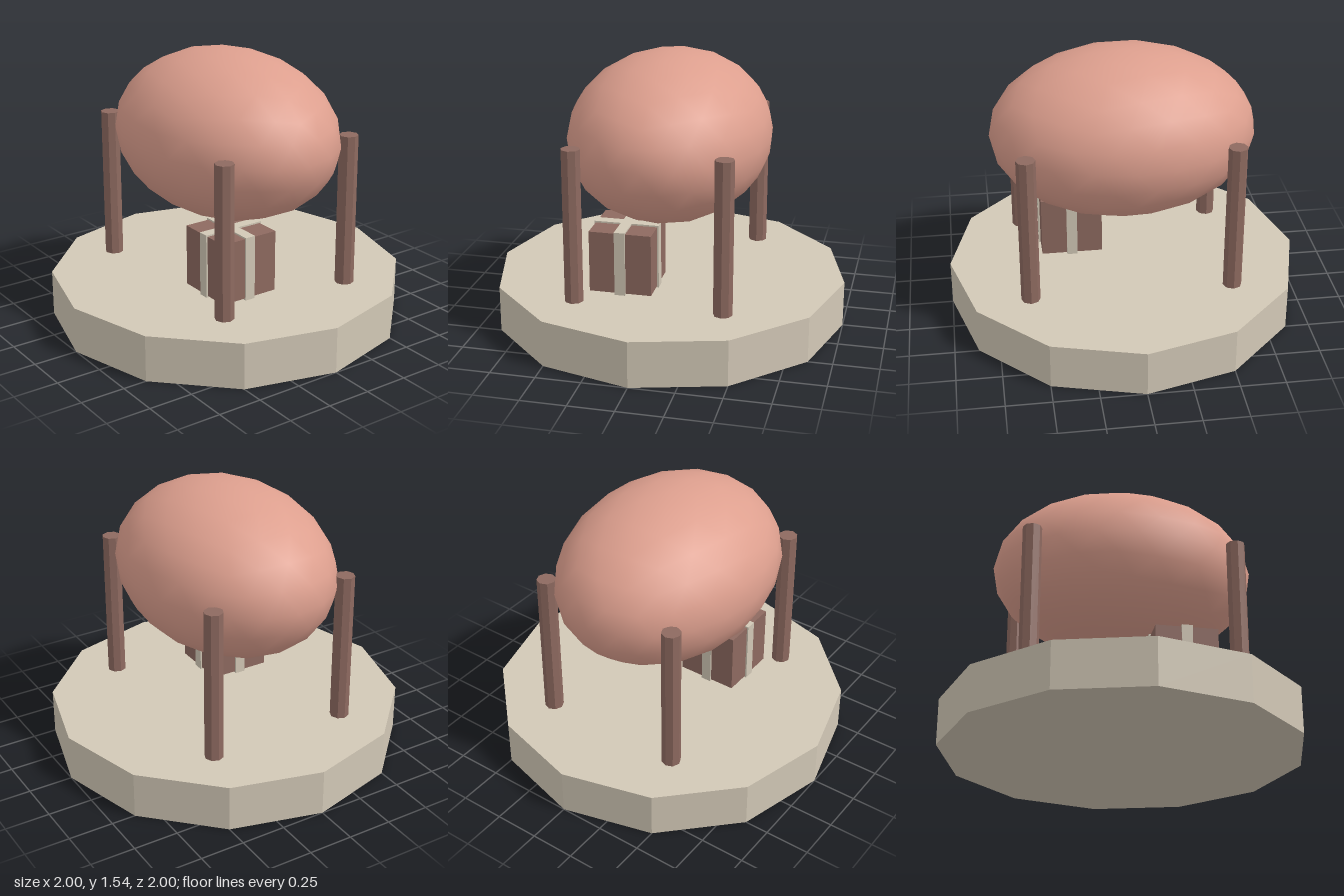
import * as THREE from 'three';

export function createModel() {
  const model = new THREE.Group();
  model.name = 'eggOnStand';

  const stone = new THREE.MeshStandardMaterial({ color: 0xd2c8b6, flatShading: true });
  stone.name = 'pale stone';
  const brown = new THREE.MeshStandardMaterial({ color: 0x8e6a60, flatShading: true });
  brown.name = 'dusty brown';
  const pink = new THREE.MeshStandardMaterial({ color: 0xdd9f8e });
  pink.name = 'salmon pink';

  const add = (parent, name, geometry, material, x, y, z) => {
    const mesh = new THREE.Mesh(geometry, material);
    mesh.name = name;
    mesh.position.set(x, y, z);
    parent.add(mesh);
    return mesh;
  };

  // Twelve-sided base
  const baseHeight = 0.26;
  add(model, 'base', new THREE.CylinderGeometry(1, 1, baseHeight, 12), stone, 0, baseHeight / 2, 0);

  // Large smooth ellipsoid: an icosphere turned so that one corner points up
  const bodyGeometry = new THREE.IcosahedronGeometry(1, 3);
  bodyGeometry.rotateZ(-Math.atan(2 / (1 + Math.sqrt(5))));
  bodyGeometry.scale(0.74, 0.467, 0.565);
  add(model, 'body', bodyGeometry, pink, 0, 1.073, 0);

  // Four posts around the body
  const postTop = 1.125;
  const postHeight = postTop - baseHeight;
  const postGeometry = new THREE.CylinderGeometry(0.053, 0.053, postHeight, 8);
  for (const sx of [-1, 1]) {
    for (const sz of [-1, 1]) {
      const name = (sz > 0 ? 'front' : 'back') + (sx > 0 ? 'Left' : 'Right') + 'Post';
      add(model, name, postGeometry, brown, sx * 0.565, baseHeight + postHeight / 2, sz * 0.412);
    }
  }

  // Parcel wrapped with two crossing ribbons
  const parcel = new THREE.Group();
  parcel.name = 'parcel';
  parcel.position.set(0.294, 0.455, 0.178);
  model.add(parcel);
  const side = 0.347, wrap = 0.365, width = 0.06;
  add(parcel, 'box', new THREE.BoxGeometry(side, side, side), brown, 0, 0, 0);
  add(parcel, 'ribbonAlongDepth', new THREE.BoxGeometry(width, wrap, wrap), stone, 0, 0, 0);
  add(parcel, 'ribbonAlongWidth', new THREE.BoxGeometry(wrap, wrap, width), stone, 0, 0, 0);

  return model;
}
